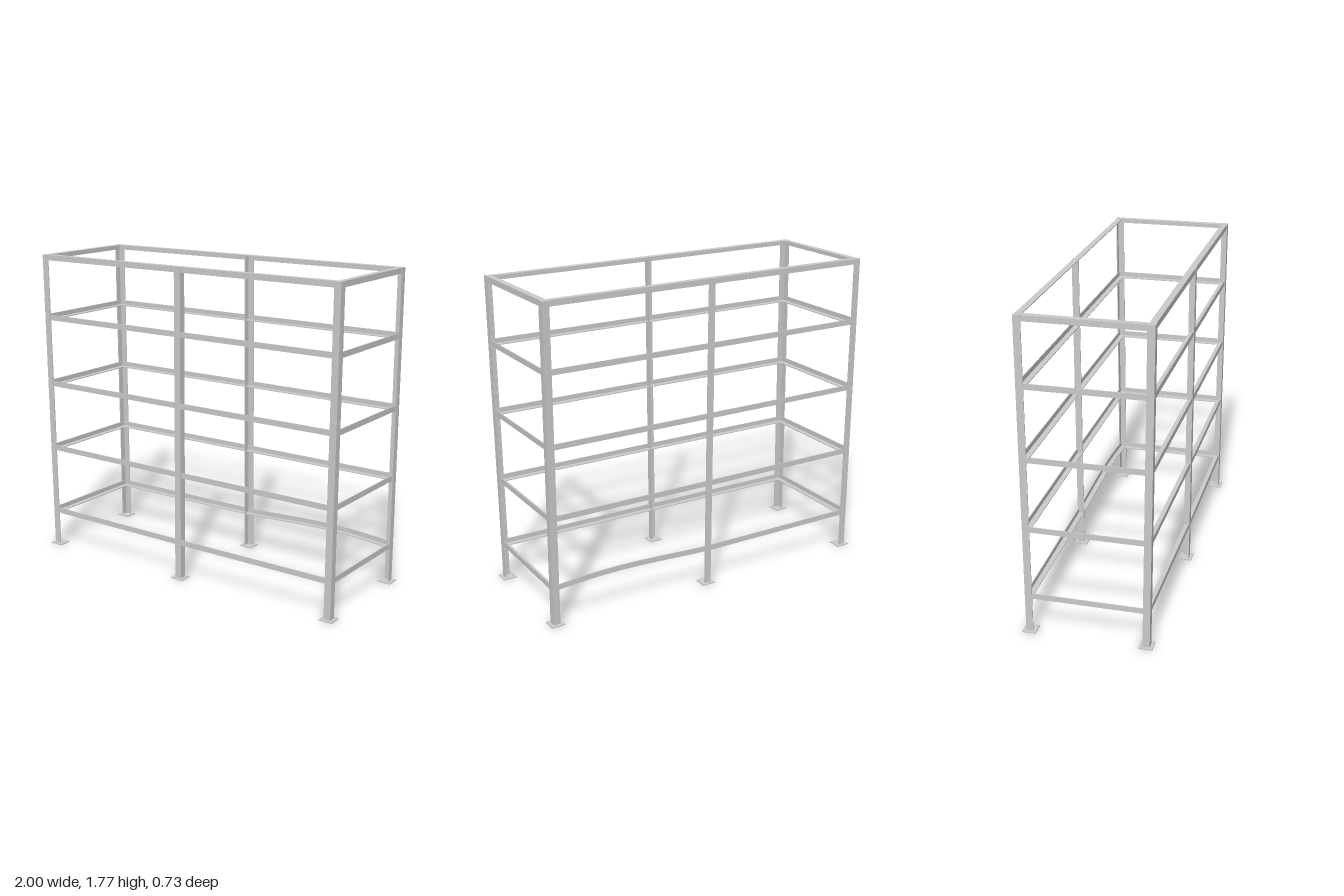
import * as THREE from 'three';

const HEIGHT = 1.77, THICK = 0.005;
const material = new THREE.MeshStandardMaterial({ color: 0xcccccc, flatShading: true });

// Flat bar whose cross-section slides from point a to point b along the given axis.
// rise(t) lifts the middle of the bar.
function bar(axis, a, b, size, offset, segments, rise) {
  const dims = [...size], segs = [1, 1, 1];
  dims[axis] = 1;
  segs[axis] = segments;
  const geometry = new THREE.BoxGeometry(...dims, ...segs);
  const pos = geometry.attributes.position;
  const p = new THREE.Vector3(), c = new THREE.Vector3();
  for (let i = 0; i < pos.count; i++) {
    p.fromBufferAttribute(pos, i);
    const t = p.getComponent(axis) + 0.5;
    p.setComponent(axis, 0);
    p.add(c.lerpVectors(a, b, t)).add(offset);
    p.y += rise(t);
    pos.setXYZ(i, p.x, p.y, p.z);
  }
  geometry.computeVertexNormals();
  return new THREE.Mesh(geometry, material);
}

// L-shaped angle section: two flat legs running out from the corner line a-b.
// legs holds the signed leg length on each axis, 0 on the long axis.
function angle(name, axis, a, b, legs, segments = 1, rise = () => 0) {
  const group = new THREE.Group();
  group.name = name;
  for (let along = 0; along < 3; along++) {
    if (along === axis) continue;
    const extent = legs.map((l, k) => (k === along ? l : Math.sign(l) * THICK));
    const offset = new THREE.Vector3(...extent).multiplyScalar(0.5);
    const leg = bar(axis, a, b, extent.map(Math.abs), offset, segments, rise);
    leg.name = name + 'Leg';
    group.add(leg);
  }
  return group;
}

export function createModel() {
  const model = new THREE.Group();
  model.name = 'shelfFrame';

  // Slightly leaning posts: corner [x, z] at the foot and the top, and leg directions in x and z
  const posts = {
    frontRight: [[-0.98, 0.324], [-0.983, 0.343], [1, -1]],
    frontMiddle: [[0, 0.343], [0.01, 0.345], [-1, -1]],
    frontLeft: [[0.974, 0.349], [0.988, 0.35], [-1, -1]],
    backRight: [[-0.978, -0.35], [-0.99, -0.349], [1, 1]],
    backMiddle: [[-0.005, -0.345], [-0.018, -0.346], [1, 1]],
    backLeft: [[0.98, -0.331], [0.981, -0.344], [-1, 1]],
  };
  const at = (post, y) => {
    const [[x0, z0], [x1, z1]] = posts[post];
    const t = y / HEIGHT;
    return new THREE.Vector3(x0 + (x1 - x0) * t, y, z0 + (z1 - z0) * t);
  };

  for (const name of Object.keys(posts)) {
    const [dx, dz] = posts[name][2];
    model.add(angle(name + 'Post', 1, at(name, 0), at(name, HEIGHT), [dx * 0.04, 0, dz * 0.039]));
    const foot = new THREE.Mesh(new THREE.BoxGeometry(0.078, 0.006, 0.074), material);
    foot.name = name + 'FootPlate';
    foot.position.copy(at(name, 0.003)).add(new THREE.Vector3(dx * 0.02, 0, dz * 0.02));
    model.add(foot);
  }

  // Rails nest inside the posts. Their flat leg lies at the bottom, on the top level at the top.
  // The lowest back rail on the left is bowed upwards.
  const bow = (t) => 0.022 * Math.sin(Math.PI * Math.pow(t, 1.35));
  [0.203, 0.6, 0.995, 1.39, HEIGHT].forEach((y, level) => {
    const up = level === 4 ? -0.031 : 0.031;
    const inset = (post, sx, sz) => at(post, y).add(new THREE.Vector3(sx * 0.003, 0, sz * 0.003));
    for (const [side, dz] of [['front', -1], ['back', 1]]) {
      const r = inset(side + 'Right', 1, dz), m = inset(side + 'Middle', 0, dz), l = inset(side + 'Left', -1, dz);
      const legs = [0, up, dz * 0.034];
      const bent = side === 'back' && level === 0;
      model.add(angle(side + 'RightRail' + level, 0, r, m, legs));
      model.add(angle(side + 'LeftRail' + level, 0, m, l, legs, bent ? 14 : 1, bent ? bow : undefined));
    }
    for (const [end, dx] of [['Right', 1], ['Left', -1]]) {
      const b = inset('back' + end, dx, 1), f = inset('front' + end, dx, -1);
      model.add(angle('end' + end + 'Rail' + level, 2, b, f, [dx * 0.034, up, 0]));
    }
  });
  return model;
}
